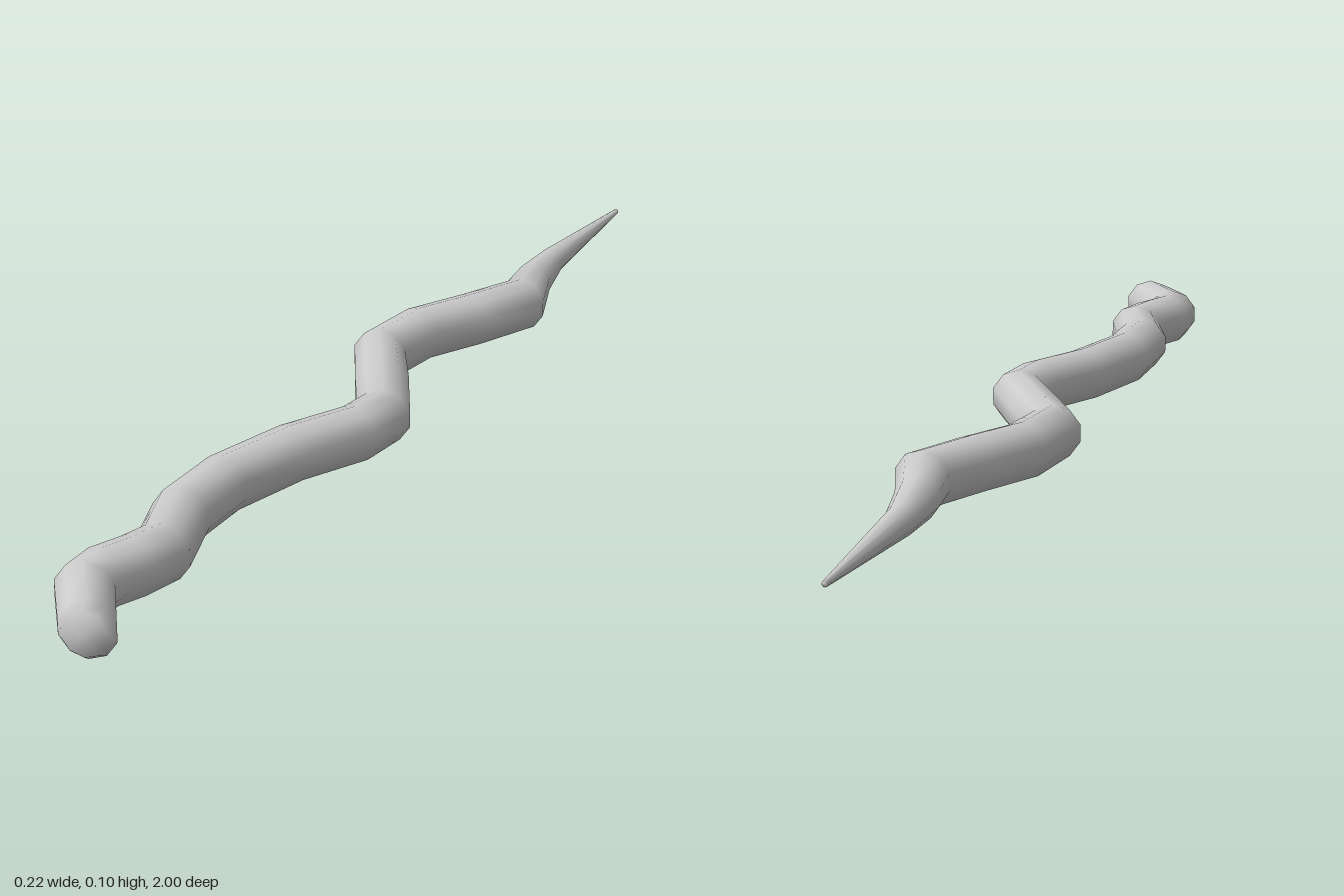
import * as THREE from 'three';

const SIDES = 10;
const MID_Y = 0.049;

// Centre line seen from above: [x, z, radius], tail tip to blunt end
const SPINE = [
  [0.02, -1, 0.005], [0.017, -0.68, 0.025], [0.03, -0.56, 0.036], [0.057, -0.45, 0.0485],
  [0.008, -0.34, 0.0485], [-0.047, -0.235, 0.0485], [-0.063, -0.11, 0.0485], [-0.003, 0, 0.0485],
  [0.062, 0.122, 0.0485], [0.052, 0.205, 0.0485], [-0.005, 0.32, 0.0485], [-0.045, 0.47, 0.0485],
  [-0.046, 0.6, 0.0485], [-0.006, 0.72, 0.0485], [-0.021, 0.78, 0.0485], [-0.042, 0.83, 0.0485],
  [-0.042, 0.88, 0.0485], [0.025, 0.978, 0.0475],
];

// Unit direction from one spine point to another, in x and z
function direction(a, b) {
  return new THREE.Vector2(b[0] - a[0], b[1] - a[1]).normalize();
}

function bodyGeometry() {
  const positions = [], indices = [];
  const last = SPINE.length - 1;

  // Each ring stands across the bisector of its two neighbouring segments
  const addRing = (x, z, radius, t) => {
    for (let j = 0; j < SIDES; j++) {
      const a = (j / SIDES) * Math.PI * 2;
      const side = Math.sin(a) * radius;
      positions.push(x + t.y * side, MID_Y + Math.cos(a) * radius, z - t.x * side);
    }
  };
  SPINE.forEach((p, i) => {
    const t = new THREE.Vector2();
    if (i > 0) t.add(direction(SPINE[i - 1], p));
    if (i < last) t.add(direction(p, SPINE[i + 1]));
    t.normalize();
    if (i === last) t.set(0.2, 0.98);
    addRing(p[0], p[1], p[2], t);
  });
  // Rounded edge of the blunt end
  addRing(0.027, 0.992, 0.038, new THREE.Vector2(0.1, 0.995));

  // Skin between neighbouring rings
  const rings = SPINE.length + 1;
  for (let i = 0; i < rings - 1; i++) {
    for (let j = 0; j < SIDES; j++) {
      const a = i * SIDES + j, b = i * SIDES + (j + 1) % SIDES;
      const c = a + SIDES, d = b + SIDES;
      indices.push(a, c, b, b, c, d);
    }
  }

  // Close the tail tip and the blunt end
  const tip = positions.length / 3;
  positions.push(0.02, MID_Y, -1, 0.028, MID_Y, 1);
  const end = (rings - 1) * SIDES;
  for (let j = 0; j < SIDES; j++) {
    const k = (j + 1) % SIDES;
    indices.push(tip, j, k, tip + 1, end + k, end + j);
  }

  const geometry = new THREE.BufferGeometry();
  geometry.setAttribute('position', new THREE.Float32BufferAttribute(positions, 3));
  geometry.setIndex(indices);
  geometry.computeVertexNormals();
  return geometry;
}

export function createModel() {
  const model = new THREE.Group();
  model.name = 'wavyBody';
  const material = new THREE.MeshStandardMaterial({ color: 0xcccccc });
  const body = new THREE.Mesh(bodyGeometry(), material);
  body.name = 'body';
  model.add(body);
  return model;
}
